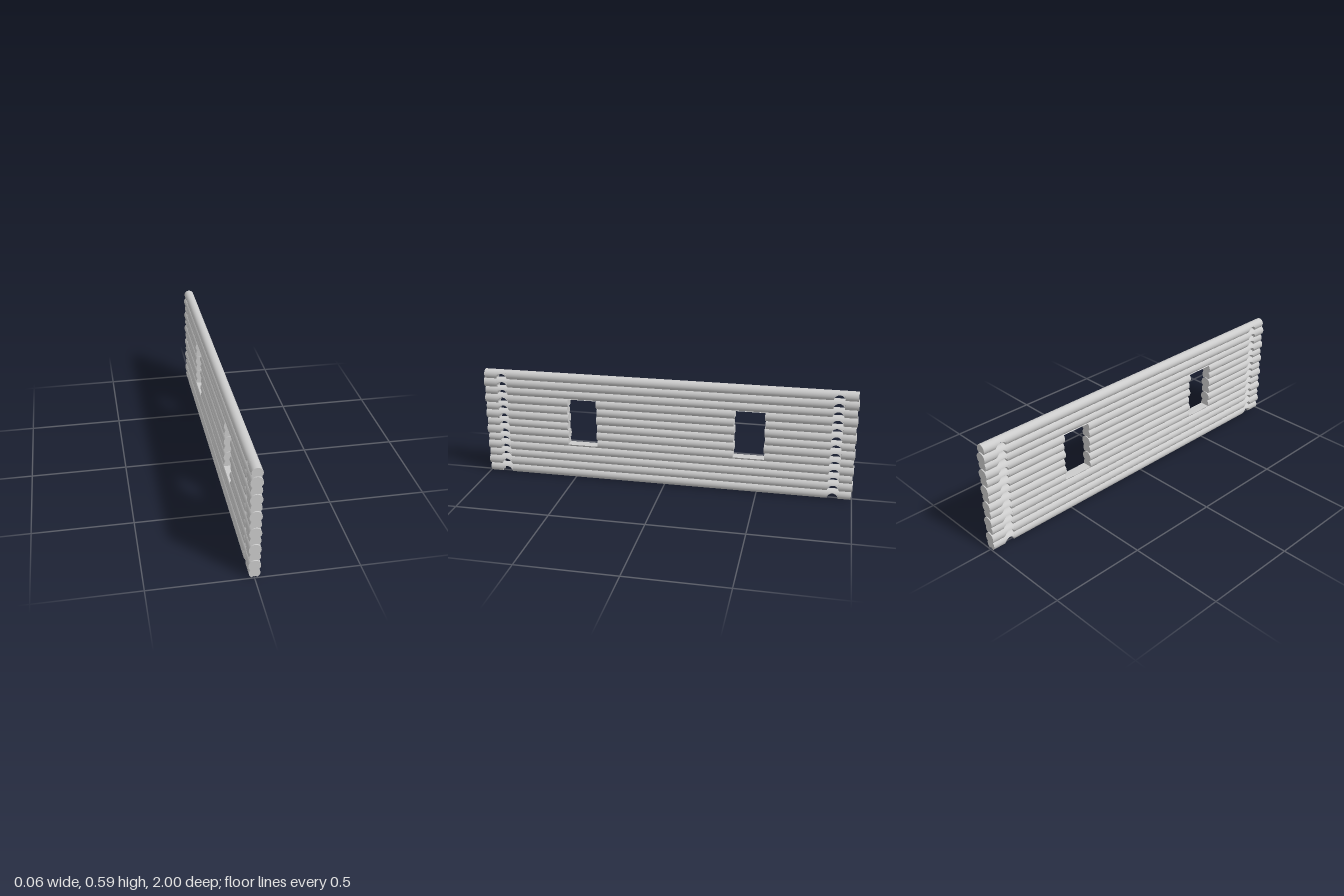
import * as THREE from 'three';
import { toCreasedNormals } from 'three/addons/utils/BufferGeometryUtils.js';

const LOGS = 13, PITCH = 0.0452, BASE = 0.0242;
const NOTCH = { z: 0.9, r: 0.029, drop: 0.0195 };
const WINDOW = { inner: 0.37, outer: 0.535, bottom: 0.195, top: 0.452 };
const ARC = 28, GROOVE = 10;
const UP = 100; // geometry is built enlarged so that creasing stays precise

// Odd logs are thicker, most of all at their ends
const radius = (i, z) => (i % 2 ? 0.0275 + 0.002 * Math.abs(z) : 0.027);

// Cross-section of log i: round on top, hollowed underneath, limited by floor and ceiling
function section(i, { z, floor = -1, ceil = 1 }) {
  const r = radius(i, z);
  const g = i ? radius(i - 1, z) + 0.0008 : 0.0132;
  const D = i ? PITCH : 0.0297;
  const lip = (r * r - g * g + D * D) / (2 * D);
  const low = Math.max(floor, -lip);
  const a = Math.asin(low / r), xe = r * Math.cos(a);
  const pts = [];
  for (let j = 0; j <= ARC; j++) {
    const t = a + (Math.PI - 2 * a) * j / ARC;
    pts.push([r * Math.cos(t), Math.min(r * Math.sin(t), ceil)]);
  }
  for (let j = 1; j < GROOVE; j++) {
    const x = xe * (2 * j / GROOVE - 1);
    const y = Math.abs(x) < g ? -D + Math.sqrt(g * g - x * x) : -1;
    pts.push([x, Math.max(low, y)]);
  }
  return pts.map(([x, y]) => [x * UP, y * UP, z * UP]);
}

// Skin a run of cross-sections and close both ends
function loft(i, stations) {
  const rings = stations.map((s) => section(i, s));
  const n = rings[0].length, pos = [];
  const tri = (a, b, c) => pos.push(...a, ...b, ...c);
  for (let k = 0; k + 1 < rings.length; k++) {
    for (let j = 0; j < n; j++) {
      const m = (j + 1) % n, A = rings[k], B = rings[k + 1];
      tri(A[j], A[m], B[m]);
      tri(A[j], B[m], B[j]);
    }
  }
  const first = rings[0], last = rings[rings.length - 1];
  for (let j = 0; j < n; j++) {
    const m = (j + 1) % n;
    tri([0, 0, first[0][2]], first[m], first[j]);
    tri([0, 0, last[0][2]], last[j], last[m]);
  }
  const geo = new THREE.BufferGeometry();
  geo.setAttribute('position', new THREE.Float32BufferAttribute(pos, 3));
  return toCreasedNormals(geo, 0.5).scale(1 / UP, 1 / UP, 1 / UP);
}

// Stations across the round saddle notch centred at z
function notch(z) {
  const out = [{ z: z - NOTCH.r }];
  for (let k = 0; k <= 14; k++) {
    const t = Math.PI * (1 - k / 14);
    out.push({ z: z + NOTCH.r * Math.cos(t), floor: -NOTCH.drop + NOTCH.r * Math.sin(t) });
  }
  out.push({ z: z + NOTCH.r });
  return out;
}

export function createModel() {
  const model = new THREE.Group();
  model.name = 'logWall';
  const material = new THREE.MeshStandardMaterial({ color: 0xcccccc });

  for (let i = 0; i < LOGS; i++) {
    const y = BASE + i * PITCH, odd = i % 2;
    const end = odd ? 1 : 0.995;
    const reach = odd ? 0.004 : 0; // thicker logs stand slightly into the openings
    const inner = WINDOW.inner + reach, outer = WINDOW.outer - reach;
    const left = [{ z: -end }, ...notch(-NOTCH.z)];
    const right = [...notch(NOTCH.z), { z: end }];
    const middle = [{ z: -inner }, { z: 0 }, { z: inner }];
    let runs;

    if (i >= 5 && i <= 8) {
      // Log interrupted by both windows
      runs = [[...left, { z: -outer }], middle, [{ z: outer }, ...right]];
    } else if (i === 4 || i === 9) {
      // Log trimmed flat to make the sill or the head of the windows
      const cut = i === 4 ? { ceil: WINDOW.bottom - y } : { floor: WINDOW.top - y };
      const trim = (a, b) => [{ z: a }, { z: a, ...cut }, { z: b, ...cut }, { z: b }];
      runs = [[...left, ...trim(-outer, -inner), { z: 0 }, ...trim(inner, outer), ...right]];
    } else {
      runs = [[...left, { z: 0 }, ...right]];
    }

    const log = new THREE.Group();
    log.name = `log${i + 1}`;
    log.position.set(odd ? -0.0005 : 0.001, y, 0);
    runs.forEach((run, k) => {
      const mesh = new THREE.Mesh(loft(i, run), material);
      mesh.name = runs.length > 1 ? ['backPiece', 'middlePiece', 'frontPiece'][k] : 'wholeLog';
      log.add(mesh);
    });
    model.add(log);
  }
  return model;
}
